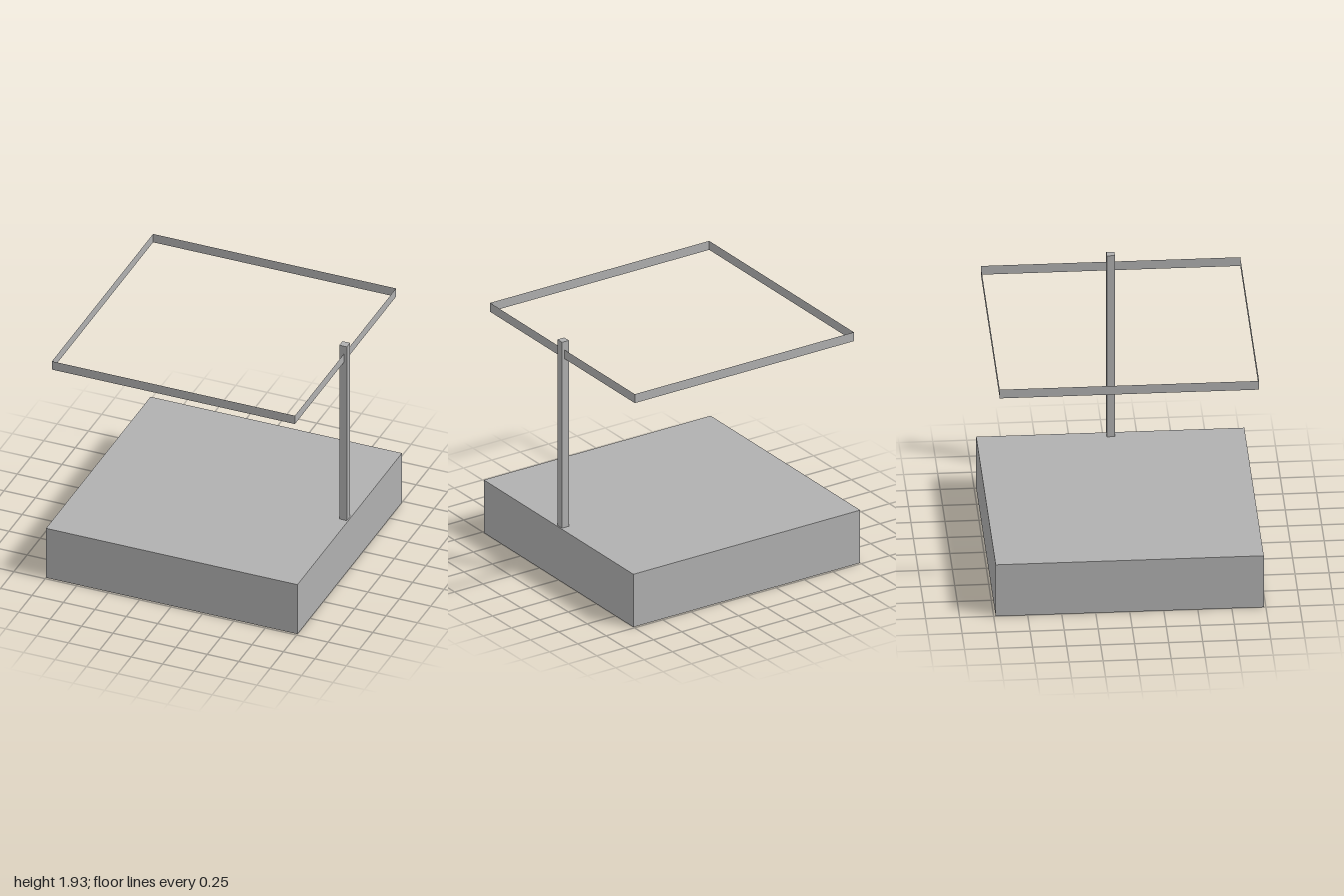
import * as THREE from 'three';

export function createModel() {
  const group = new THREE.Group();
  const grey = new THREE.MeshStandardMaterial({ color: 0xb0b0b0, side: THREE.DoubleSide });
  grey.name = 'grey';

  const add = (name, geometry, x, y, z, parent = group) => {
    const mesh = new THREE.Mesh(geometry, grey);
    mesh.name = name;
    mesh.position.set(x, y, z);
    parent.add(mesh);
    return mesh;
  };

  // Solid base block
  const baseHeight = 0.427;
  add('base', new THREE.BoxGeometry(2, baseHeight, 1.97), 0, baseHeight / 2, 0);

  // Square post at the left edge
  const postTop = 1.93;
  add('post', new THREE.BoxGeometry(0.06, postTop - baseHeight, 0.06), 0.96, (postTop + baseHeight) / 2, 0);

  // Thin open rectangular band held by the post
  const frame = new THREE.Group();
  frame.name = 'frame';
  frame.position.y = 1.826;
  group.add(frame);
  const halfX = 0.966, halfZ = 0.953, bandHeight = 0.072;
  for (const s of [1, -1]) {
    const endName = s > 0 ? 'frameFront' : 'frameBack';
    const sideName = s > 0 ? 'frameLeft' : 'frameRight';
    const end = add(endName, new THREE.PlaneGeometry(halfX * 2, bandHeight), 0, 0, s * halfZ, frame);
    end.rotation.y = s > 0 ? 0 : Math.PI;
    const side = add(sideName, new THREE.PlaneGeometry(halfZ * 2, bandHeight), s * halfX, 0, 0, frame);
    side.rotation.y = s * Math.PI / 2;
  }

  return group;
}
